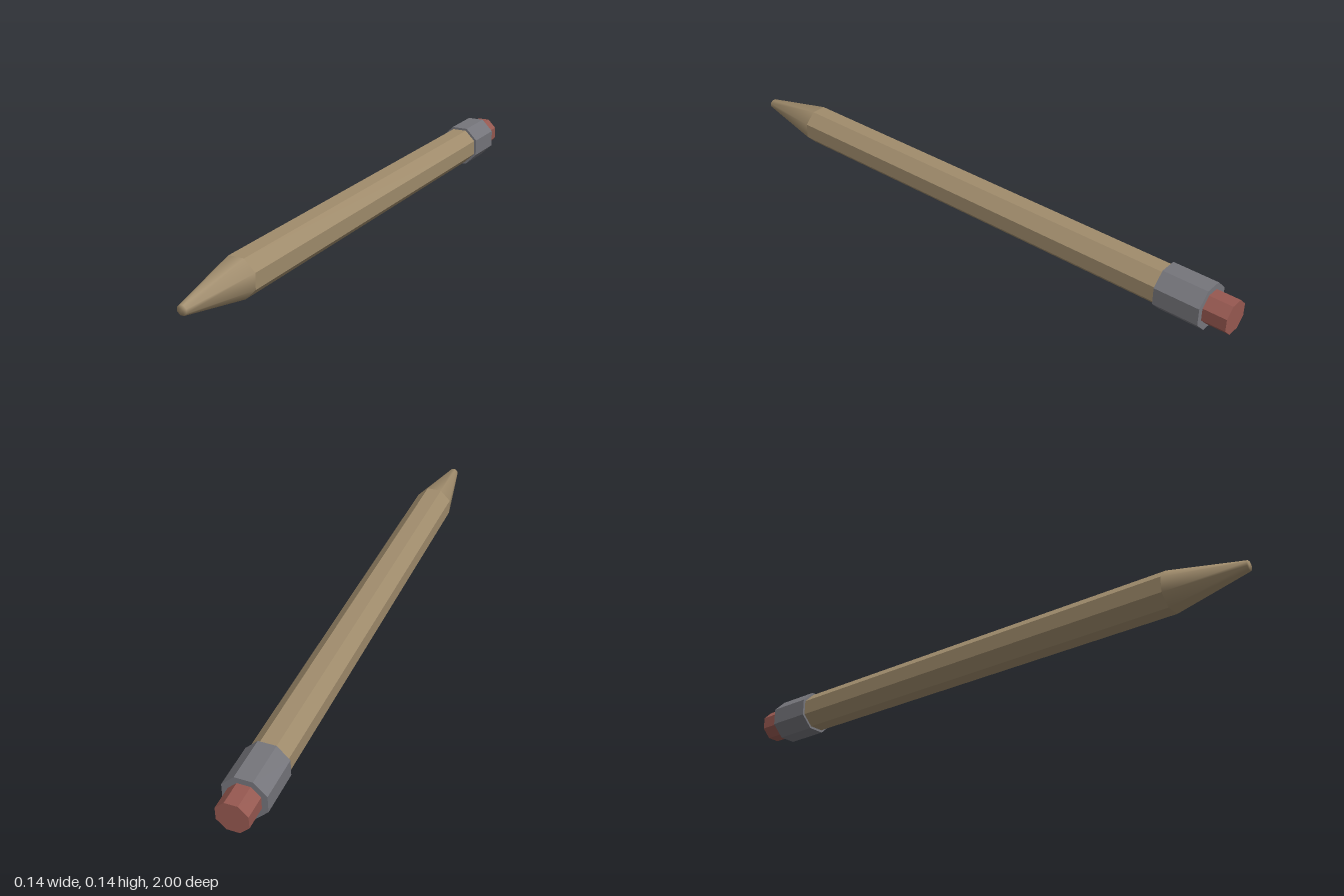
import * as THREE from 'three';

const SIDES = 8;
const CENTER_Y = 0.0705;
const toRadius = (apothem) => apothem / Math.cos(Math.PI / SIDES);

export function createModel() {
  const group = new THREE.Group();
  group.name = 'pencil';

  const wood = new THREE.MeshStandardMaterial({ color: 0xa08c6c });
  wood.name = 'tan wood';
  const metal = new THREE.MeshStandardMaterial({ color: 0x75757b });
  metal.name = 'grey metal';
  const rubber = new THREE.MeshStandardMaterial({ color: 0x965850 });
  rubber.name = 'red rubber';

  function add(name, geometry, material, z) {
    geometry.rotateX(Math.PI / 2); // lay the axis along z
    const mesh = new THREE.Mesh(geometry, material);
    mesh.name = name;
    mesh.position.set(0, CENTER_Y, z);
    group.add(mesh);
  }

  // Octagonal bar with flat sides up, from z0 to z1
  function addBar(name, apothem, z0, z1, material) {
    const r = toRadius(apothem);
    const bar = new THREE.CylinderGeometry(r, r, z1 - z0, SIDES, 1, false, Math.PI / SIDES);
    const flat = bar.toNonIndexed();
    flat.computeVertexNormals();
    add(name, flat, material, (z0 + z1) / 2);
  }

  addBar('shaft', 0.0625, -0.77, 0.745, wood);
  addBar('ferrule', 0.0705, -0.92, -0.765, metal);
  addBar('eraser', 0.051, -1, -0.92, rubber);

  // Smooth sharpened tip with a small blunt end
  const profile = [
    new THREE.Vector2(toRadius(0.0625), 0),
    new THREE.Vector2(toRadius(0.0155), 0.255),
    new THREE.Vector2(0, 0.255),
  ];
  add('tip', new THREE.LatheGeometry(profile, SIDES, Math.PI / SIDES), wood, 0.745);

  return group;
}
